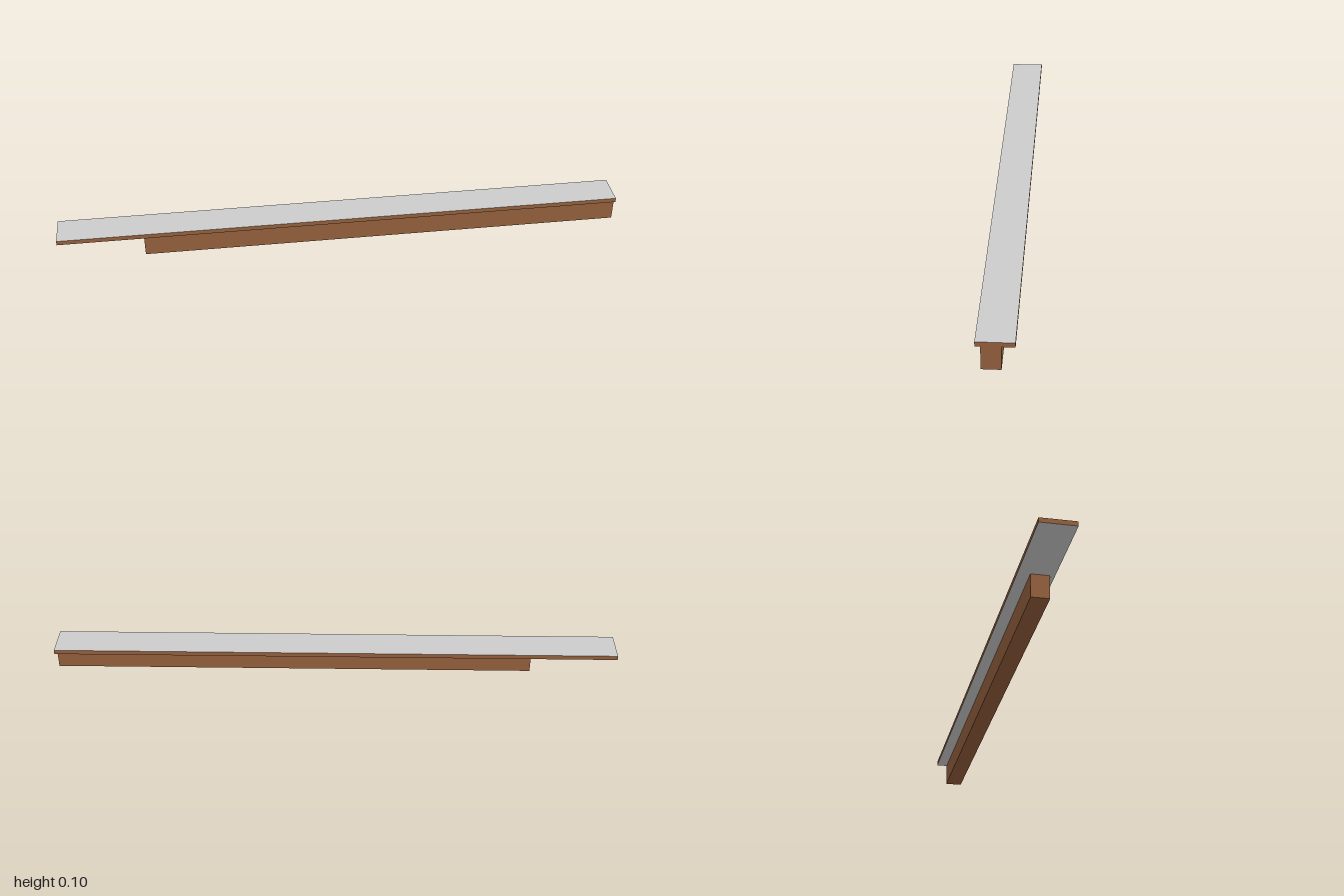
import * as THREE from 'three';

export function createModel() {
  const group = new THREE.Group();
  const material = (name, color) => {
    const m = new THREE.MeshStandardMaterial({ color });
    m.name = name;
    return m;
  };
  const wood = material('brown wood', 0x935f3c);
  const grey = material('light grey', 0xcccccc);

  // Box given by its low and high corners
  const box = (name, lo, hi, materials) => {
    const size = hi.map((v, i) => v - lo[i]);
    const mesh = new THREE.Mesh(new THREE.BoxGeometry(...size), materials);
    mesh.position.set(...hi.map((v, i) => (v + lo[i]) / 2));
    mesh.name = name;
    group.add(mesh);
  };

  // Shelf board: grey top and underside, wooden edges
  box('board', [-1, 0.082, -0.06], [1, 0.098, 0.06], [wood, wood, grey, grey, wood, wood]);

  // Supporting beam, set slightly forward and stopping short of the right end
  box('beam', [-0.7, 0, -0.019], [1, 0.082, 0.043], wood);

  return group;
}
